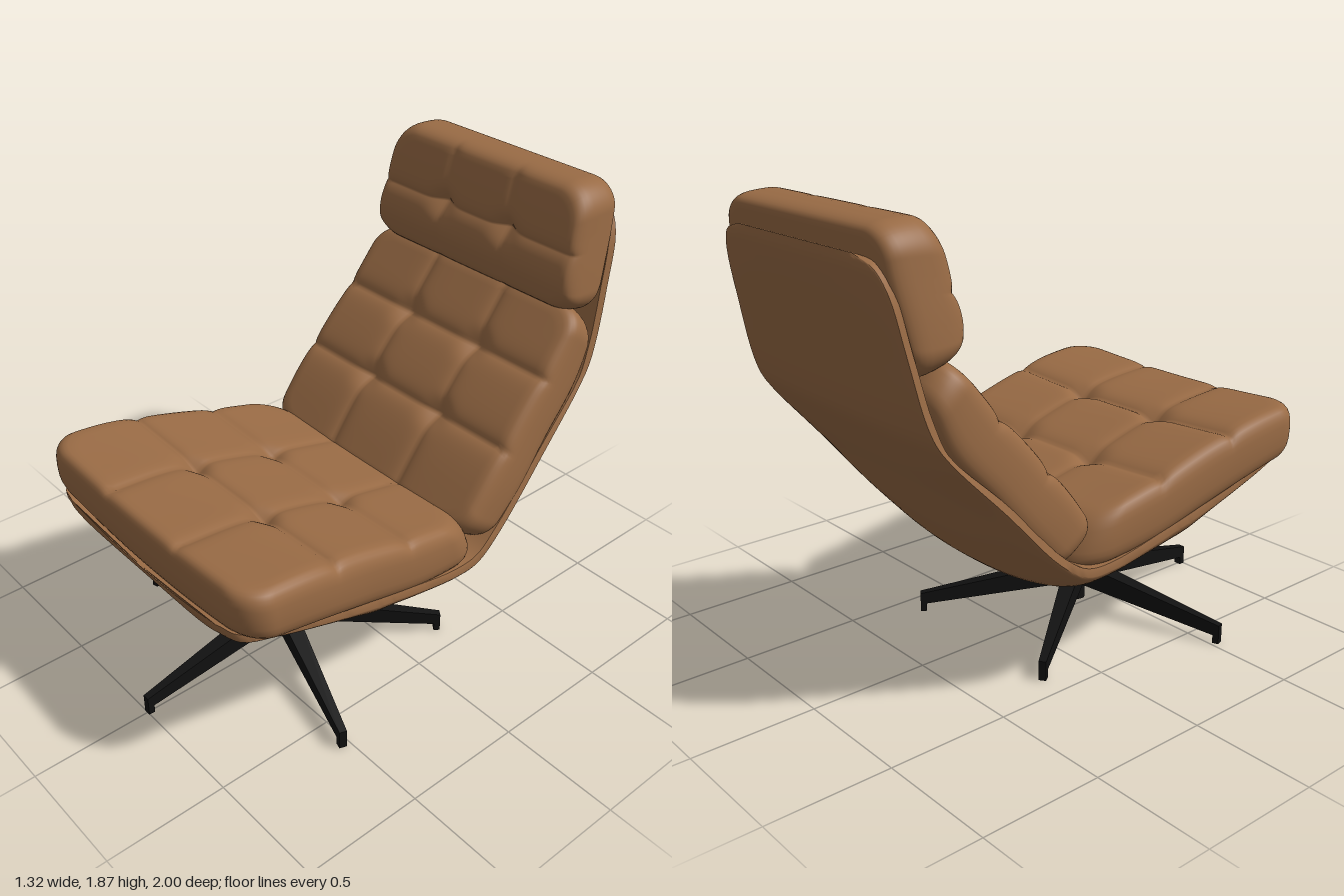
import * as THREE from 'three';
import { mergeVertices, toCreasedNormals } from 'three/addons/utils/BufferGeometryUtils.js';

const leather = new THREE.MeshStandardMaterial({ color: 0x996b45 });
leather.name = 'tan leather';
const black = new THREE.MeshStandardMaterial({ color: 0x111111 });
black.name = 'black metal';

const V = (x, y, z) => new THREE.Vector3(x, y, z);
const curve = (pts) => new THREE.CatmullRomCurve3(pts, false, 'centripetal');
const part = (name, geo, mat) => {
  const m = new THREE.Mesh(geo, mat);
  m.name = name;
  return m;
};
// Front lip sags towards its middle
const sag = (x, z) => 0.04 * THREE.MathUtils.smoothstep(z, 0.3, 0.92) * Math.max(0, 1 - (x / 0.5) ** 2);

// Tufted cushion: a rounded box bent between a lower and an upper [z, y] line.
// rows are groove positions along the length (-1..1), cols are x positions.
function cushion(name, o) {
  const low = curve(o.low.map(([z, y], i) => V(o.widths[i], y, z)));
  const high = curve(o.high.map(([z, y]) => V(0, y, z)));
  const b = low.getLength() / 2;
  let geo = new THREE.BoxGeometry(2, 2, 2, 80, 14, 80);
  geo.deleteAttribute('uv');
  geo.deleteAttribute('normal');
  geo = mergeVertices(geo);
  const pos = geo.attributes.position;
  for (let i = 0; i < pos.count; i++) {
    const h = pos.getY(i), ang = h * Math.PI / 2;
    const H = Math.sign(h) * Math.pow(Math.abs(Math.sin(ang)), 0.7);
    const inset = o.edge * (1 - Math.pow(Math.max(0, Math.cos(ang)), 0.7));
    // round the corners of the outline
    const a = o.widths[0];
    let x = pos.getX(i) * a, v = pos.getZ(i) * b;
    const cx = THREE.MathUtils.clamp(x, o.corner - a, a - o.corner);
    const cv = THREE.MathUtils.clamp(v, o.corner - b, b - o.corner);
    const dx = x - cx, dv = v - cv, len = Math.hypot(dx, dv);
    if (len > 0) {
      const k = Math.max(Math.abs(dx), Math.abs(dv)) / len;
      x = cx + dx * k;
      v = cv + dv * k;
    }
    x *= (a - inset) / a;
    v *= (b - inset) / b;
    // grooves and buttons on the upper face
    let cut = o.dip * (1 - (x / a) ** 2);
    for (const c of o.cols) cut += 0.014 * Math.exp(-Math.abs(x - c) / 0.022);
    for (const r of o.rows) {
      cut += 0.022 * Math.exp(-Math.abs(v - r * b) / 0.03);
      for (const c of o.cols) cut += 0.025 * Math.exp(-(((x - c) ** 2 + (v - r * b) ** 2) / 0.003));
    }
    const t = THREE.MathUtils.clamp(v / b / 2 + 0.5, 0, 1);
    const p = low.getPoint(t), q = high.getPoint(t);
    const width = p.x / a;
    p.x = q.x = 0;
    const f = (H + 1) / 2 - cut * Math.max(0, H) ** 2 / p.distanceTo(q);
    p.lerp(q, f);
    pos.setXYZ(i, x * width, p.y - sag(x, p.z) * (1 - f), p.z);
  }
  geo.computeVertexNormals();
  return part(name, geo, leather);
}

// Shell: closed cross-sections from the front lip to the top of the back.
// Each row: rim z, rim y, keel z, keel y, half width, fullness.
function shell() {
  const rows = [
    [0.96, 0.73, 0.955, 0.69, 0.48, 3], [0.93, 0.725, 0.92, 0.655, 0.57, 2.8],
    [0.80, 0.705, 0.80, 0.605, 0.61, 2.4], [0.62, 0.66, 0.62, 0.52, 0.625, 1.9],
    [0.46, 0.62, 0.47, 0.405, 0.63, 1.4], [0.34, 0.59, 0.36, 0.285, 0.63, 1.1],
    [0.26, 0.575, 0.28, 0.278, 0.63, 1.1], [0.15, 0.55, 0.13, 0.32, 0.63, 1.4],
    [-0.07, 0.505, -0.11, 0.343, 0.62, 1.9], [-0.19, 0.51, -0.22, 0.37, 0.615, 2.2],
    [-0.31, 0.585, -0.37, 0.53, 0.605, 2.5], [-0.55, 0.84, -0.60, 0.815, 0.59, 2.8],
    [-0.80, 1.11, -0.845, 1.125, 0.565, 2.8], [-0.85, 1.21, -0.88, 1.20, 0.555, 2.8],
    [-0.91, 1.45, -0.94, 1.45, 0.535, 2.8], [-0.955, 1.65, -0.985, 1.65, 0.51, 2.8],
    [-0.975, 1.73, -1.0, 1.73, 0.46, 2.8], [-0.985, 1.765, -1.0, 1.77, 0.36, 2.8],
  ];
  const rim = curve(rows.map((r) => V(r[4], r[1], r[0])));
  const keel = curve(rows.map((r) => V(r[5], r[3], r[2])));
  const N = 85, M = 40, ring = 2 * (M + 1);
  const pos = [], idx = [], centres = [];
  for (let i = 0; i <= N; i++) {
    const r = rim.getPoint(i / N), k = keel.getPoint(i / N);
    const w = r.x, full = k.x;
    r.x = k.x = 0;
    const n = r.clone().sub(k).normalize().multiplyScalar(0.03);
    for (let j = 0; j <= M; j++) {
      const u = Math.sin((j / M - 0.5) * Math.PI);
      const f = Math.pow(Math.max(0, 1 - Math.pow(Math.abs(u), full)), 0.65);
      const p = r.clone().lerp(k, f);
      pos.push(w * u, p.y - sag(w * u, p.z) * (1 - f), p.z);
    }
    const top = r.clone().add(n);
    for (let j = M; j >= 0; j--) {
      const x = (w - 0.008) * Math.sin((j / M - 0.5) * Math.PI);
      pos.push(x, top.y - sag(x, top.z), top.z);
    }
    centres.push(r.clone().lerp(k, 0.3));
  }
  for (let i = 0; i < N; i++) {
    for (let j = 0; j < ring; j++) {
      const a = i * ring + j, b = i * ring + (j + 1) % ring;
      idx.push(a, a + ring, b, b, a + ring, b + ring);
    }
  }
  // end caps
  for (const [i, flip] of [[0, false], [N, true]]) {
    const c = pos.length / 3;
    pos.push(0, centres[i].y, centres[i].z);
    for (let j = 0; j < ring; j++) {
      const a = i * ring + j, b = i * ring + (j + 1) % ring;
      idx.push(c, flip ? b : a, flip ? a : b);
    }
  }
  const geo = new THREE.BufferGeometry();
  geo.setAttribute('position', new THREE.Float32BufferAttribute(pos, 3));
  geo.setIndex(idx);
  return part('shell', toCreasedNormals(geo, 0.7), leather);
}

// Five-armed swivel base
function base() {
  const g = new THREE.Group();
  g.name = 'swivelBase';
  g.position.z = 0.328;
  const profile = [[0, 0.12], [0.05, 0.12], [0.648, 0.035], [0.648, 0], [0.674, 0], [0.674, 0.082], [0.05, 0.215], [0, 0.215]];
  const geo = new THREE.ExtrudeGeometry(new THREE.Shape(profile.map(([x, y]) => new THREE.Vector2(x, y))),
    { depth: 0.08, bevelEnabled: false });
  geo.translate(0, 0, -0.04);
  const pos = geo.attributes.position;
  for (let i = 0; i < pos.count; i++) {
    pos.setZ(i, pos.getZ(i) * THREE.MathUtils.lerp(1, 0.38, pos.getX(i) / 0.674));
  }
  geo.rotateY(-Math.PI / 2);
  geo.computeVertexNormals();
  for (let i = 0; i < 5; i++) {
    const leg = part('leg', geo, black);
    leg.rotation.y = i * Math.PI * 2 / 5;
    g.add(leg);
  }
  const column = [[0, 0.042], [0.038, 0.042], [0.038, 0.11], [0.06, 0.12], [0.06, 0.215], [0.047, 0.24], [0.047, 0.3], [0, 0.3]];
  const lathe = new THREE.LatheGeometry(column.map(([x, y]) => new THREE.Vector2(x, y)), 28);
  g.add(part('column', toCreasedNormals(lathe, 0.5), black));
  return g;
}

export function createModel() {
  const chair = new THREE.Group();
  chair.name = 'loungeChair';
  chair.add(base(), shell());
  chair.add(cushion('seatCushion', {
    low: [[-0.24, 0.505], [0.12, 0.545], [0.4, 0.615], [0.68, 0.69], [0.96, 0.745]],
    high: [[-0.14, 0.72], [0.17, 0.80], [0.45, 0.88], [0.70, 0.935], [0.965, 0.96]],
    widths: [0.61, 0.635, 0.645, 0.66, 0.66],
    edge: 0.07, corner: 0.13, dip: 0.025, cols: [-0.2, 0.2], rows: [-0.45, 0.22],
  }));
  chair.add(cushion('backCushion', {
    low: [[-0.845, 1.305], [-0.755, 1.09], [-0.595, 0.90], [-0.44, 0.71], [-0.27, 0.53]],
    high: [[-0.735, 1.42], [-0.57, 1.22], [-0.40, 1.03], [-0.24, 0.84], [-0.10, 0.65]],
    widths: [0.57, 0.58, 0.59, 0.60, 0.595],
    edge: 0.06, corner: 0.1, dip: -0.01, cols: [-0.19, 0.19], rows: [-0.4, 0.22],
  }));
  chair.add(cushion('headCushion', {
    low: [[-0.965, 1.86], [-0.945, 1.70], [-0.905, 1.53], [-0.86, 1.335]],
    high: [[-0.755, 1.875], [-0.70, 1.68], [-0.665, 1.52], [-0.685, 1.39]],
    widths: [0.51, 0.525, 0.54, 0.55],
    edge: 0.05, corner: 0.11, dip: 0, cols: [-0.165, 0.165], rows: [-0.1],
  }));
  return chair;
}
